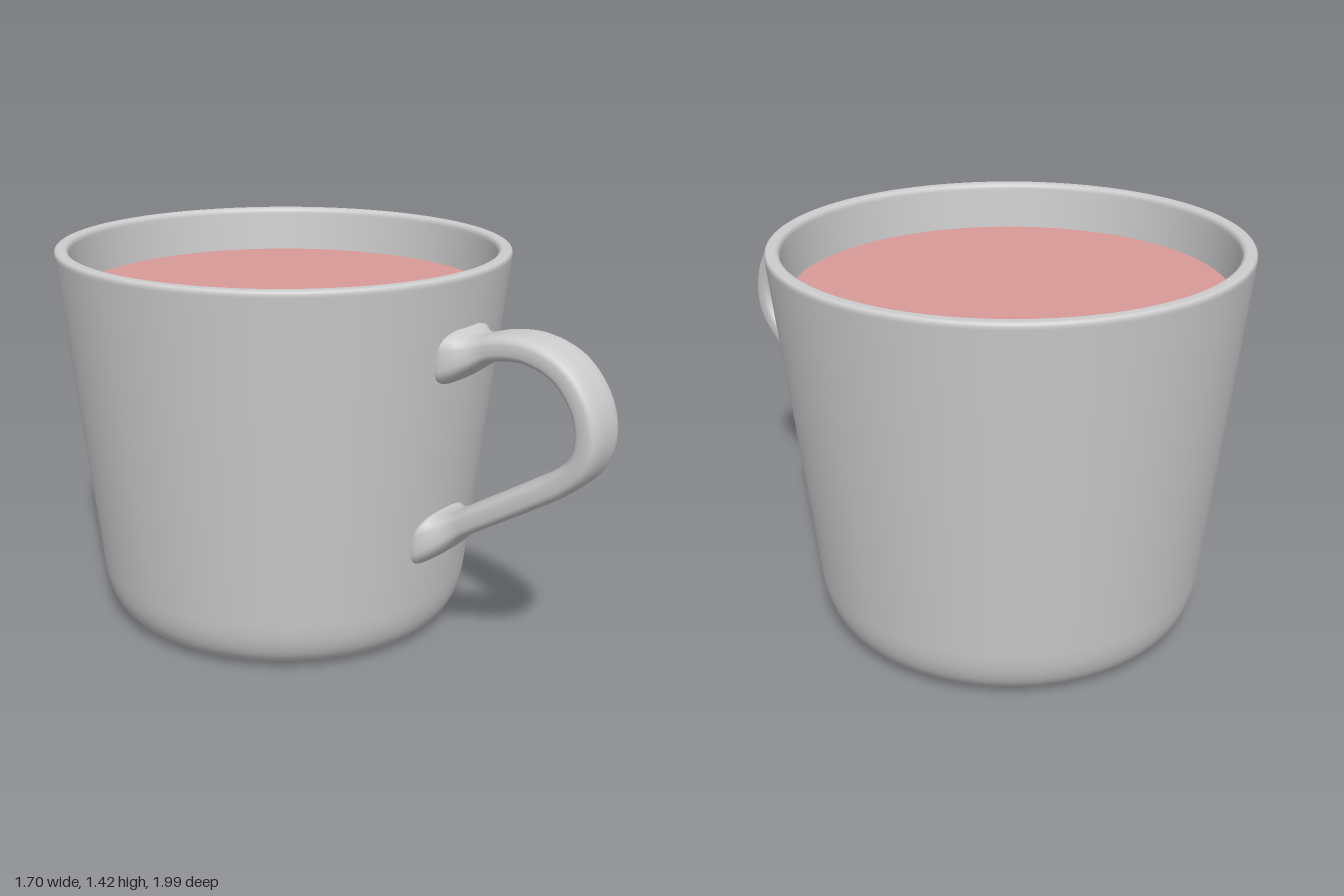
import * as THREE from 'three';

// Radius of the tapered outer wall at height y
const wallRadius = (y) => 0.716 + (y - 0.2) * 0.103;

// Turned cup: base, rounded foot, tapered wall, soft rim and inside
function cupGeometry() {
  const p = new THREE.Path();
  p.moveTo(0, 0);
  p.lineTo(0.56, 0);
  p.bezierCurveTo(0.66, 0.005, 0.704, 0.07, 0.716, 0.2);
  p.lineTo(0.84, 1.4);
  p.quadraticCurveTo(0.842, 1.42, 0.828, 1.422);
  p.lineTo(0.806, 1.422);
  p.quadraticCurveTo(0.79, 1.42, 0.788, 1.4);
  p.lineTo(0.667, 0.2);
  p.bezierCurveTo(0.655, 0.1, 0.62, 0.06, 0.54, 0.055);
  p.lineTo(0, 0.055);
  return new THREE.LatheGeometry(p.getPoints(12), 96);
}

// Flat strap swept along a loop in the radial plane, flaring into the wall
function handleGeometry() {
  const path = new THREE.CatmullRomCurve3([
    [0.765, 1.125], [0.86, 1.155], [0.97, 1.195], [1.09, 1.203], [1.21, 1.16],
    [1.295, 1.06], [1.322, 0.95], [1.3, 0.86], [1.23, 0.785], [1.1, 0.695],
    [0.9, 0.565], [0.705, 0.435],
  ].map(([r, y]) => new THREE.Vector3(r, y, 0)), false, 'centripetal');
  const steps = 96, sides = 32;
  const positions = [], indices = [];
  for (let i = 0; i <= steps; i++) {
    const c = path.getPointAt(i / steps);
    const t = path.getTangentAt(i / steps);
    const gap = c.x - wallRadius(c.y);
    const flare = Math.min(1, Math.max(0, 1 - gap / 0.12)) ** 2;
    const n = new THREE.Vector3(-t.y, t.x, 0);
    const side = Math.sign(n.y) || 1;
    n.lerp(new THREE.Vector3(0.103 * side, side, 0), flare).normalize();
    const thick = 0.046 + 0.05 * flare;
    const wide = 0.092 + 0.06 * flare;
    for (let j = 0; j < sides; j++) {
      const a = (j / sides) * Math.PI * 2;
      // Rounded rectangle section
      const u = Math.sign(Math.cos(a)) * Math.abs(Math.cos(a)) ** 0.6 * thick;
      const v = Math.sign(Math.sin(a)) * Math.abs(Math.sin(a)) ** 0.6 * wide;
      positions.push(c.x + n.x * u, c.y + n.y * u, v);
      if (i < steps) {
        const k = (j + 1) % sides;
        const p = i * sides + j, q = i * sides + k;
        indices.push(p, q, p + sides, q, q + sides, p + sides);
      }
    }
  }
  const g = new THREE.BufferGeometry();
  g.setAttribute('position', new THREE.Float32BufferAttribute(positions, 3));
  g.setIndex(indices);
  g.computeVertexNormals();
  return g;
}

export function createModel() {
  const ceramic = new THREE.MeshStandardMaterial({ color: 0xcccccc });
  ceramic.name = 'grey ceramic';
  const drink = new THREE.MeshStandardMaterial({ color: 0xd89a98 });
  drink.name = 'pink drink';

  const model = new THREE.Group();
  model.name = 'mug';
  const add = (name, geometry, material) => {
    const mesh = new THREE.Mesh(geometry, material);
    mesh.name = name;
    mesh.position.set(-0.01, 0, -0.158);
    model.add(mesh);
    return mesh;
  };

  add('cup', cupGeometry(), ceramic);

  // Handle points to the front left
  add('handle', handleGeometry(), ceramic).rotation.y = -Math.atan2(0.813, 0.583);

  // Drink surface just below the rim
  const surface = new THREE.CircleGeometry(0.775, 96).rotateX(-Math.PI / 2);
  add('drink', surface, drink).position.y = 1.25;

  return model;
}
